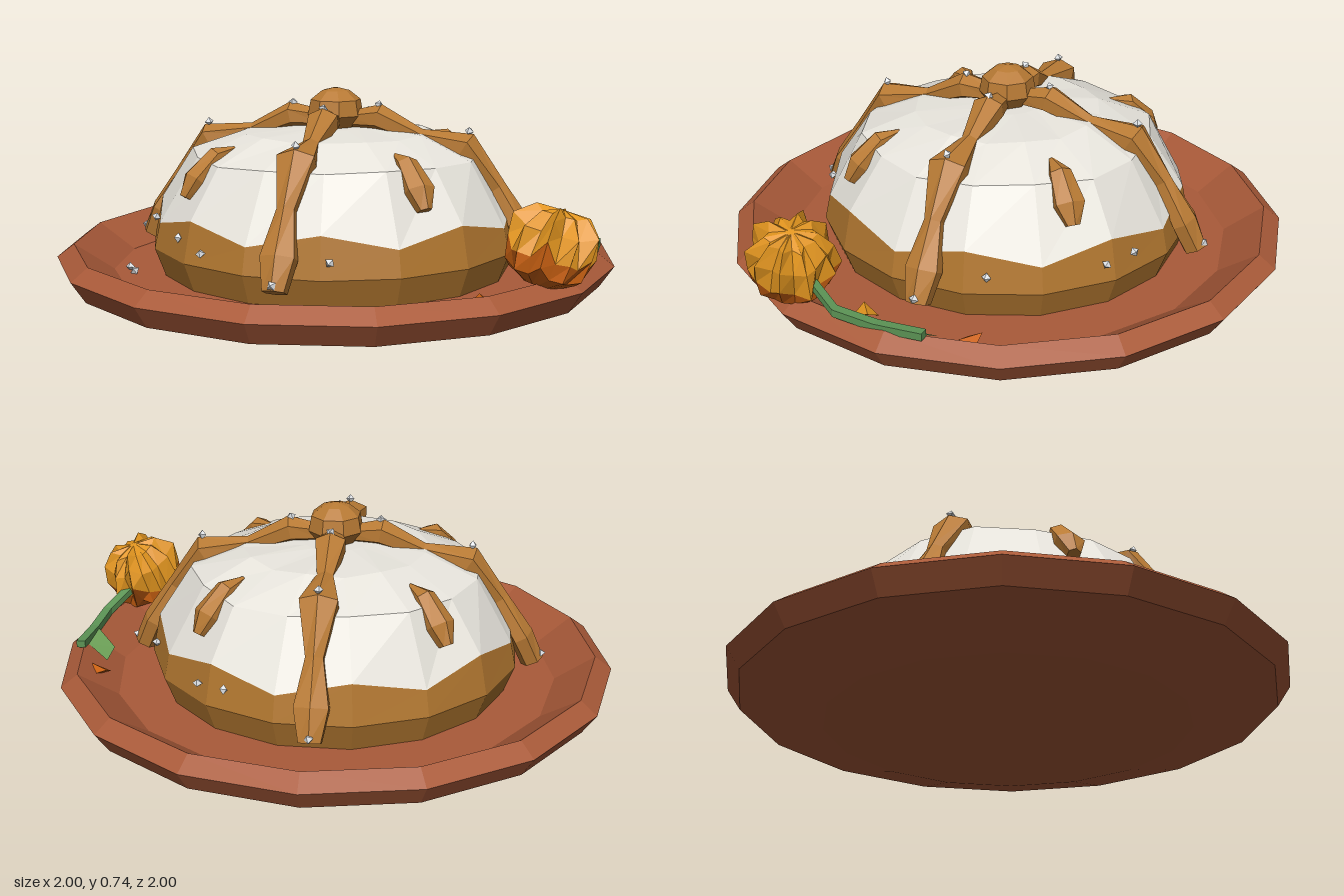
import * as THREE from 'three';

const paint = (name, color, doubleSided) => {
  const m = new THREE.MeshStandardMaterial({ color, flatShading: true });
  m.name = name;
  if (doubleSided) m.side = THREE.DoubleSide;
  return m;
};

const V = (x, y, z) => new THREE.Vector3(x, y, z);

// Skin a list of closed rings (equal point counts), optionally capping the ends.
function loft(rings, capStart = true, capEnd = true) {
  const pos = [];
  const tri = (a, b, c) => [a, b, c].forEach(p => pos.push(p.x, p.y, p.z));
  const n = rings[0].length;
  for (let i = 0; i < rings.length - 1; i++) {
    for (let j = 0; j < n; j++) {
      const k = (j + 1) % n;
      tri(rings[i][j], rings[i][k], rings[i + 1][k]);
      tri(rings[i][j], rings[i + 1][k], rings[i + 1][j]);
    }
  }
  const cap = (ring, flip) => {
    const c = ring.reduce((s, p) => s.add(p), V(0, 0, 0)).divideScalar(n);
    for (let j = 0; j < n; j++) {
      const k = (j + 1) % n;
      if (flip) tri(c, ring[k], ring[j]); else tri(c, ring[j], ring[k]);
    }
  };
  if (capStart) cap(rings[0], true);
  if (capEnd) cap(rings[rings.length - 1], false);
  const g = new THREE.BufferGeometry();
  g.setAttribute('position', new THREE.Float32BufferAttribute(pos, 3));
  g.computeVertexNormals();
  return g;
}

// Horizontal ring; shape(j) returns [radius, height].
const ring = (n, offset, shape) => Array.from({ length: n }, (_, j) => {
  const a = (j + offset) / n * Math.PI * 2, [r, y] = shape(j);
  return V(r * Math.sin(a), y, r * Math.cos(a));
});

// Lumpy ridged strip in the xy plane; each station is [x, y, half width, half height].
function strip(stations, sides) {
  return loft(stations.map(([x, y, w, h], i) => {
    const a = stations[Math.max(i - 1, 0)], b = stations[Math.min(i + 1, stations.length - 1)];
    const t = V(b[0] - a[0], b[1] - a[1], 0).normalize();
    return Array.from({ length: sides }, (_, j) => {
      const q = j / sides * Math.PI * 2, u = Math.cos(q) * h, v = Math.sin(q) * w;
      return V(x - t.y * u, y + t.x * u, v);
    });
  }));
}

export function createModel() {
  const root = new THREE.Group();
  const clay = paint('terracotta', 0xa95a39), crust = paint('crust brown', 0xb0762f);
  const dough = paint('bone dough', 0xb87a34), sugar = paint('sugar white', 0xe9e6de);
  const crystal = paint('sugar crystal', 0xe2e6ea), gold = paint('marigold', 0xe2951f);
  const rust = paint('deep orange', 0xcc6212), stemGreen = paint('stem green', 0x5c9455);
  const leafGreen = paint('leaf green', 0x74ac5e, true);
  const add = (name, geo, mat, parent = root) => {
    const m = new THREE.Mesh(geo, mat);
    m.name = name;
    parent.add(m);
    return m;
  };

  // Plate
  const profile = [[0, 0], [0.65, 0], [0.95, 0.075], [1, 0.15], [0.94, 0.195], [0.8, 0.1], [0, 0.1]];
  add('plate', new THREE.LatheGeometry(profile.map(p => new THREE.Vector2(...p)), 16), clay);

  // Bread: crust below, sugar coat above, meeting along a zigzag edge
  const edge = ring(16, 0.5, j => j % 2 ? [0.645, 0.29] : [0.635, 0.34]);
  add('crust', loft([
    ring(16, 0.5, () => [0.62, 0.08]), ring(16, 0.5, () => [0.665, 0.2]), edge,
  ], true, false), crust);
  add('sugarCoat', loft([
    edge,
    ring(16, 0.5, j => [0.515 + 0.008 * Math.sin(j * 2.3), 0.515 + 0.006 * Math.sin(j * 1.7)]),
    ring(16, 0.5, j => [0.33, 0.588 + 0.005 * Math.sin(j * 2.9)]),
    ring(16, 0.5, () => [0.12, 0.603]),
  ], false, true), sugar);

  // Four bone arms and four drops between them
  const arm = strip([
    [0.05, 0.63, 0.033, 0.03], [0.16, 0.64, 0.06, 0.048], [0.31, 0.575, 0.032, 0.03],
    [0.475, 0.55, 0.074, 0.05], [0.585, 0.405, 0.034, 0.036], [0.67, 0.27, 0.066, 0.045],
    [0.715, 0.17, 0.042, 0.042],
  ], 6);
  const drop = strip([
    [0.4, 0.55, 0.01, 0.01], [0.47, 0.53, 0.042, 0.035],
    [0.55, 0.455, 0.058, 0.04], [0.585, 0.395, 0.025, 0.025],
  ], 6);
  for (let i = 0; i < 4; i++) {
    add('boneArm', arm, dough).rotation.y = i * Math.PI / 2;
    add('doughDrop', drop, dough).rotation.y = (i + 0.5) * Math.PI / 2;
  }

  // Centre knob
  add('centreKnob', loft([[0.06, 0.59], [0.1, 0.645], [0.09, 0.7], [0.05, 0.732], [0.01, 0.742]]
    .map(s => ring(8, 0.5, () => s))), dough);

  // Marigold with ragged pleated petals
  const flower = new THREE.Group();
  flower.name = 'flower';
  flower.position.set(0.82, 0.297, 0.4);
  flower.rotation.set(-0.2, 0, -0.25);
  root.add(flower);
  const pleat = (r, y, dip, lift) => ring(20, 0, j => {
    const ragged = 1 + 0.07 * Math.sin(j * 2.7 + y * 40);
    return j % 2 ? [r * dip * ragged, y - lift] : [r * ragged, y + lift * Math.cos(j * 1.9)];
  });
  const middle = pleat(0.155, -0.01, 0.8, 0.03);
  add('lowerPetals', loft([
    pleat(0.05, -0.125, 1, 0), pleat(0.125, -0.08, 0.9, 0.015), middle,
  ], true, false), rust, flower);
  add('upperPetals', loft([
    middle, pleat(0.14, 0.065, 0.8, 0.02), pleat(0.09, 0.118, 0.75, 0.012), pleat(0.012, 0.125, 1, 0),
  ], false, true), gold, flower);

  // Stem and leaf
  const stemPath = [[0.86, 0.25, 0.3], [0.915, 0.205, 0.19], [0.922, 0.195, 0.04], [0.925, 0.205, -0.13]];
  add('stem', loft(stemPath.map(([x, y, z]) =>
    [[-1, -1], [-1, 1], [1, 1], [1, -1]].map(([a, b]) => V(x + a * 0.016, y + b * 0.013, z)))), stemGreen);
  const leaf = new THREE.BufferGeometry();
  leaf.setAttribute('position', new THREE.Float32BufferAttribute([
    0.91, 0.2, 0.04, 0.91, 0.19, -0.09, 0.83, 0.145, -0.13, 0.835, 0.145, -0.01,
  ], 3));
  leaf.setIndex([0, 1, 3, 1, 2, 3]);
  leaf.computeVertexNormals();
  add('leaf', leaf, leafGreen);

  // Fallen petals on the plate
  const petal = new THREE.TetrahedronGeometry(0.058).scale(1, 0.4, 0.75);
  [[0.825, 0.158, -0.24, rust], [0.76, 0.12, 0.17, gold], [0.63, 0.15, 0.56, rust], [0.46, 0.12, 0.62, gold]]
    .forEach(([x, y, z, mat], i) => {
      const m = add('fallenPetal', petal, mat);
      m.position.set(x, y, z);
      m.rotation.y = i * 1.3;
    });

  // Sugar crystals on the arms, crust and plate
  const grain = new THREE.OctahedronGeometry(0.017);
  const grains = [
    [-0.68, 0.11, 0.3], [-0.64, 0.11, 0.35], [0.55, 0.11, 0.47], [0.49, 0.11, 0.53], [0.27, 0.11, 0.72],
    [-0.6, 0.285, 0.24], [-0.41, 0.275, 0.5], [-0.3, 0.245, 0.58], [0.16, 0.26, 0.645],
    [0.4, 0.27, -0.53], [0.3, 0.28, -0.59], [0.62, 0.26, -0.2],
  ];
  for (let i = 0; i < 4; i++) {
    const c = Math.round(Math.cos(i * Math.PI / 2)), s = Math.round(Math.sin(i * Math.PI / 2));
    for (const [r, y] of [[0.16, 0.685], [0.485, 0.602], [0.745, 0.2]]) grains.push([r * c, y, r * s]);
  }
  grains.forEach((p, i) => {
    const m = add('sugarCrystal', grain, crystal);
    m.position.set(...p);
    m.rotation.set(i, i * 0.7, 0);
  });

  return root;
}
